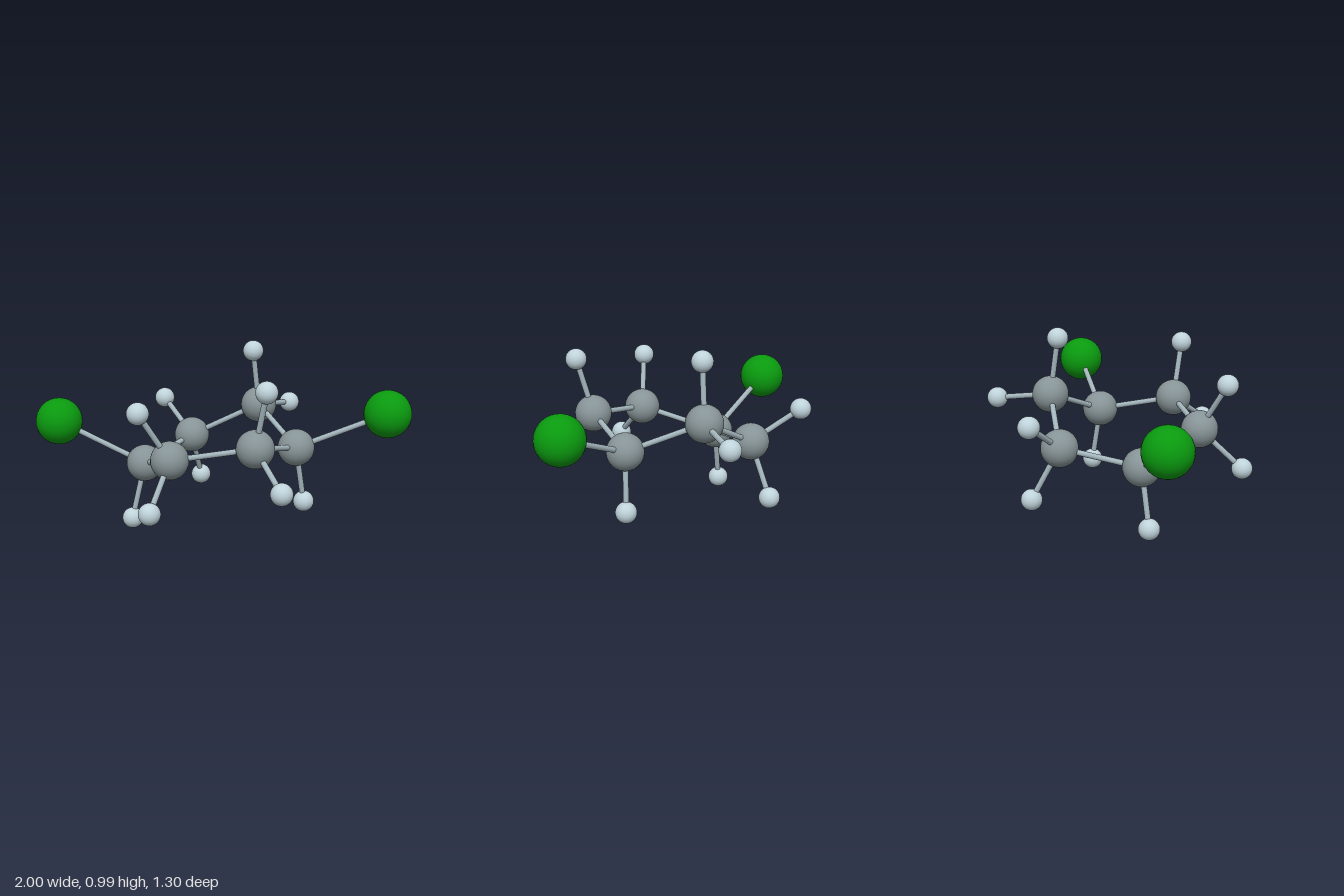
import * as THREE from 'three';

// Ring carbons in order, each with its attached atoms: [kind, x, y, z]
const RING = [
  { at: [-0.41, 0.362, 0.003], subs: [['chlorine', -0.875, 0.579, -0.012], ['hydrogen', -0.478, 0.056, 0.023]] },
  { at: [-0.22, 0.483, 0.374], subs: [['hydrogen', -0.361, 0.742, 0.47], ['hydrogen', -0.291, 0.27, 0.589]] },
  { at: [0.208, 0.552, 0.37], subs: [['hydrogen', 0.265, 0.852, 0.432], ['hydrogen', 0.35, 0.392, 0.594]] },
  { at: [0.4, 0.467, -0.002], subs: [['chlorine', 0.873, 0.66, 0.001], ['hydrogen', 0.444, 0.16, -0.038]] },
  { at: [0.18, 0.623, -0.333], subs: [['hydrogen', 0.15, 0.93, -0.296], ['hydrogen', 0.342, 0.583, -0.594]] },
  { at: [-0.2, 0.431, -0.369], subs: [['hydrogen', -0.382, 0.601, -0.558], ['hydrogen', -0.166, 0.157, -0.512]] },
];

const KINDS = {
  carbon: { radius: 0.098, color: 0x879497 },
  hydrogen: { radius: 0.056, color: 0xbfd3da },
  chlorine: { radius: 0.125, color: 0x0a9a0f },
};
const BOND_RADIUS = 0.015;

export function createModel() {
  const model = new THREE.Group();
  model.name = 'molecule';
  const bondMaterial = new THREE.MeshStandardMaterial({ color: 0xa3b5bc });

  // One shared sphere and material per kind of atom
  const parts = {};
  for (const [kind, { radius, color }] of Object.entries(KINDS)) {
    parts[kind] = {
      geometry: new THREE.SphereGeometry(radius, 32, 24),
      material: new THREE.MeshStandardMaterial({ color }),
    };
  }

  function addAtom(kind, position, name) {
    const atom = new THREE.Mesh(parts[kind].geometry, parts[kind].material);
    atom.position.copy(position);
    atom.name = name;
    model.add(atom);
  }

  // Thin rod running between two atom centres
  function addBond(a, b, name) {
    const dir = b.clone().sub(a);
    const rod = new THREE.CylinderGeometry(BOND_RADIUS, BOND_RADIUS, dir.length(), 16, 1, true);
    const bond = new THREE.Mesh(rod, bondMaterial);
    bond.position.copy(a).add(b).multiplyScalar(0.5);
    bond.quaternion.setFromUnitVectors(new THREE.Vector3(0, 1, 0), dir.normalize());
    bond.name = name;
    model.add(bond);
  }

  RING.forEach(({ at, subs }, i) => {
    const carbon = new THREE.Vector3(...at);
    const next = new THREE.Vector3(...RING[(i + 1) % RING.length].at);
    addAtom('carbon', carbon, `carbonAtom${i + 1}`);
    addBond(carbon, next, `ringBond${i + 1}`);

    // Two outward atoms on each ring carbon
    subs.forEach(([kind, ...p], j) => {
      const outer = new THREE.Vector3(...p);
      addAtom(kind, outer, `${kind}Atom${i + 1}_${j + 1}`);
      addBond(carbon, outer, `${kind}Bond${i + 1}_${j + 1}`);
    });
  });

  return model;
}
